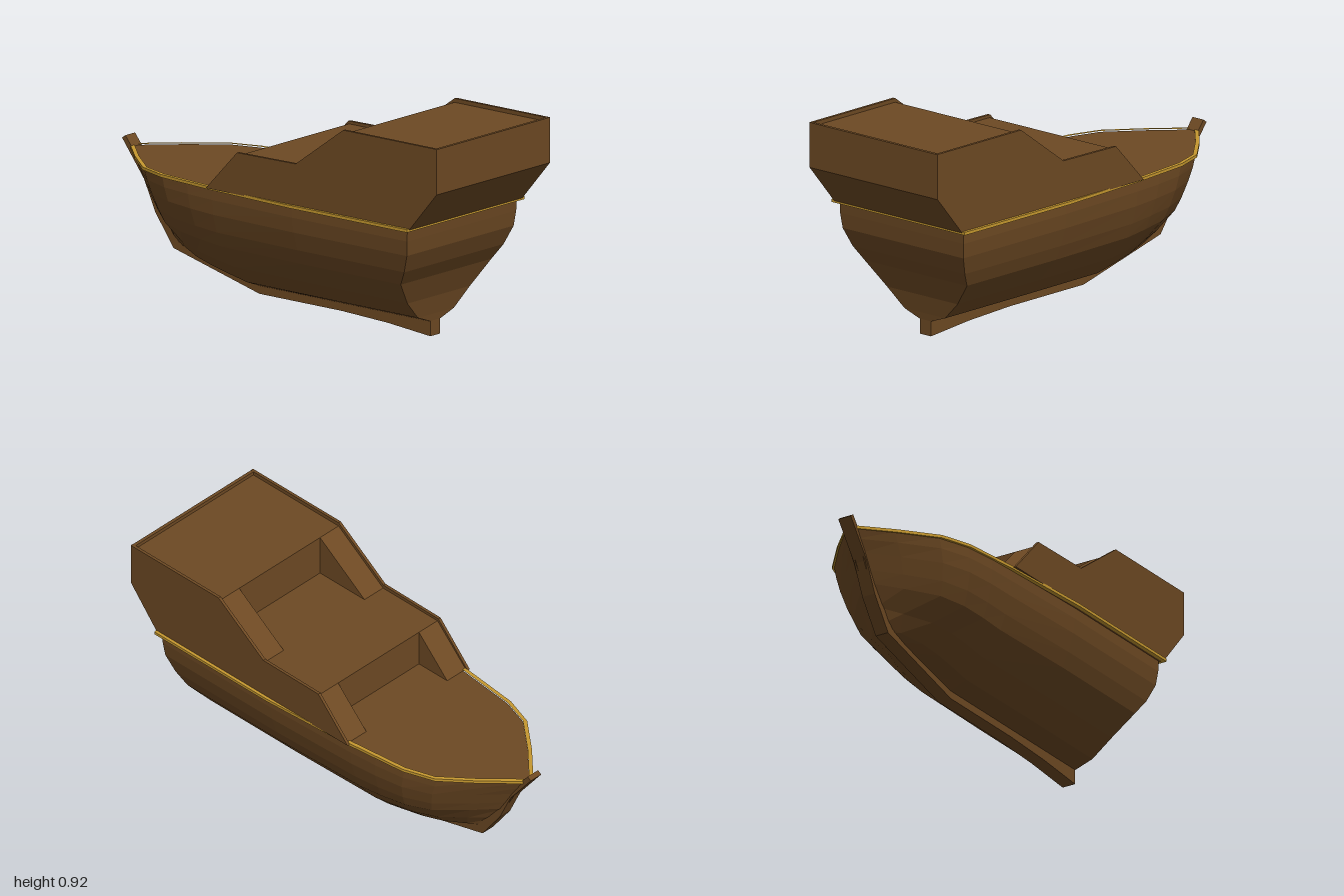
import * as THREE from 'three';

const wood = new THREE.MeshStandardMaterial({ color: 0x6d4923, flatShading: true });
wood.name = 'brownWood';
const gold = new THREE.MeshStandardMaterial({ color: 0xc6982f, flatShading: true });
gold.name = 'goldTrim';

function toShape(points) {
  return new THREE.Shape(points.map(([x, y]) => new THREE.Vector2(x, y)));
}

function addMesh(group, name, geometry, material) {
  const mesh = new THREE.Mesh(geometry, material);
  mesh.name = name;
  group.add(mesh);
  return mesh;
}

// Side profile extruded across the ship from z0 to z1
function addProfile(group, name, points, z0, z1) {
  const geometry = new THREE.ExtrudeGeometry(toShape(points), { depth: z1 - z0, bevelEnabled: false });
  geometry.translate(0, 0, z0);
  return addMesh(group, name, geometry, wood);
}

// Plan outline extruded upwards from y0 to y1
function plate(shape, y0, y1) {
  const geometry = new THREE.ExtrudeGeometry(shape, { depth: y1 - y0, bevelEnabled: false });
  geometry.rotateX(-Math.PI / 2);
  geometry.translate(0, y0, 0);
  return geometry;
}

// Hull lofted through cross-sections, with a curved transom
function hullGeometry() {
  const rowY = [0.54, 0.49, 0.425, 0.345, 0.28, 0.175, 0.095, 0.065];
  const rowZ = [0.35, 0.35, 0.342, 0.318, 0.29, 0.2, 0.115, 0.033];
  const sternX = [0.83, 0.827, 0.82, 0.785, 0.742, 0.702, 0.687, 0.683];
  const stemX = [-0.96, -0.935, -0.9, -0.865, -0.835, -0.775, -0.735, -0.71];
  // [fraction from midship to stem, width scale]
  const bow = [[0, 0.96], [0.2, 0.94], [0.41, 0.89], [0.61, 0.75], [0.82, 0.4], [1, 0.06]];

  const half = [
    rowY.map((y, i) => [sternX[i], y, rowZ[i]]),
    rowY.map((y, i) => [0.2, y, rowZ[i]]),
    ...bow.map(([u, w]) => rowY.map((y, i) => [
      -0.25 + u * (stemX[i] + 0.25),
      0.54 - (0.54 - y) * (1 - 0.21 * u),
      rowZ[i] * w,
    ])),
  ];
  const sections = half.map((h) => [...h, ...h.slice().reverse().map(([x, y, z]) => [x, y, -z])]);

  const positions = [];
  const quad = (a, b, c, d) => positions.push(...a, ...b, ...c, ...a, ...c, ...d);
  const n = sections[0].length;
  for (let s = 0; s < sections.length - 1; s++) {
    const p = sections[s], q = sections[s + 1];
    for (let i = 0; i < n - 1; i++) quad(p[i], q[i], q[i + 1], p[i + 1]);
  }
  const t = sections[0];
  for (let i = 0; i < n / 2 - 1; i++) quad(t[i], t[i + 1], t[n - 2 - i], t[n - 1 - i]);

  const geometry = new THREE.BufferGeometry();
  geometry.setAttribute('position', new THREE.Float32BufferAttribute(positions, 3));
  geometry.computeVertexNormals();
  return geometry;
}

// Deck outline, optionally inset from the outer rail edge
function deckOutline(inset) {
  const side = [[-0.965, 0.02], [-0.83, 0.15], [-0.68, 0.275], [-0.54, 0.322], [-0.25, 0.352],
    [0.2, 0.377], [0.85, 0.377]];
  const inner = side.map(([x, z], i) => [
    i === side.length - 1 ? x - inset : x + inset * (i < 3 ? 0.7 : 0.2),
    Math.max(z - inset * (i < 3 ? 0.75 : 1), 0.004),
  ]);
  return [...inner, ...inner.slice().reverse().map(([x, z]) => [x, -z])];
}

export function createModel() {
  const ship = new THREE.Group();
  ship.name = 'ship';

  addMesh(ship, 'hull', hullGeometry(), wood);

  // Keel and stem in one bent beam
  addProfile(ship, 'keel', [
    [-1, 0.577], [-0.88, 0.42], [-0.82, 0.29], [-0.72, 0.15], [-0.25, 0.03], [0.2, 0.03],
    [0.45, 0.02], [0.683, 0], [0.683, 0.075], [-0.25, 0.075], [-0.69, 0.18], [-0.78, 0.3],
    [-0.85, 0.43], [-0.95, 0.55], [-0.982, 0.59],
  ], -0.031, 0.031);

  // Main deck with a gold rail round its edge
  addMesh(ship, 'mainDeck', plate(toShape(deckOutline(0.017)), 0.538, 0.546), wood);
  const railShape = toShape(deckOutline(0));
  railShape.holes.push(toShape(deckOutline(0.017)));
  addMesh(ship, 'goldRail', plate(railShape, 0.537, 0.55), gold);

  // Stepped aft castle, with a low lip at the stern
  addProfile(ship, 'aftCastle', [
    [-0.085, 0.545], [0.85, 0.545], [1, 0.72], [1, 0.914], [0.985, 0.914], [0.985, 0.898],
    [0.49, 0.898], [0.49, 0.712], [-0.085, 0.712],
  ], -0.351, 0.351);

  for (const [label, s] of [['left', -1], ['right', 1]]) {
    const across = (name, points, a, b) =>
      addProfile(ship, name, points, Math.min(s * a, s * b), Math.max(s * a, s * b));
    const sideName = s > 0 ? 'front' : 'back';
    // Side walls rising above the decks
    across(`${sideName}Bulwark`, [
      [-0.26, 0.545], [0.85, 0.545], [1, 0.72], [1, 0.915], [0.49, 0.915], [0.23, 0.728], [-0.09, 0.724],
    ], 0.35, 0.363);
    // Sloping ramps between the decks
    across(`${sideName}LowerRamp`, [[-0.25, 0.545], [-0.085, 0.545], [-0.085, 0.712]], 0.24, 0.351);
    across(`${sideName}UpperRamp`, [[0.23, 0.711], [0.49, 0.711], [0.49, 0.898]], 0.24, 0.351);
  }

  return ship;
}
